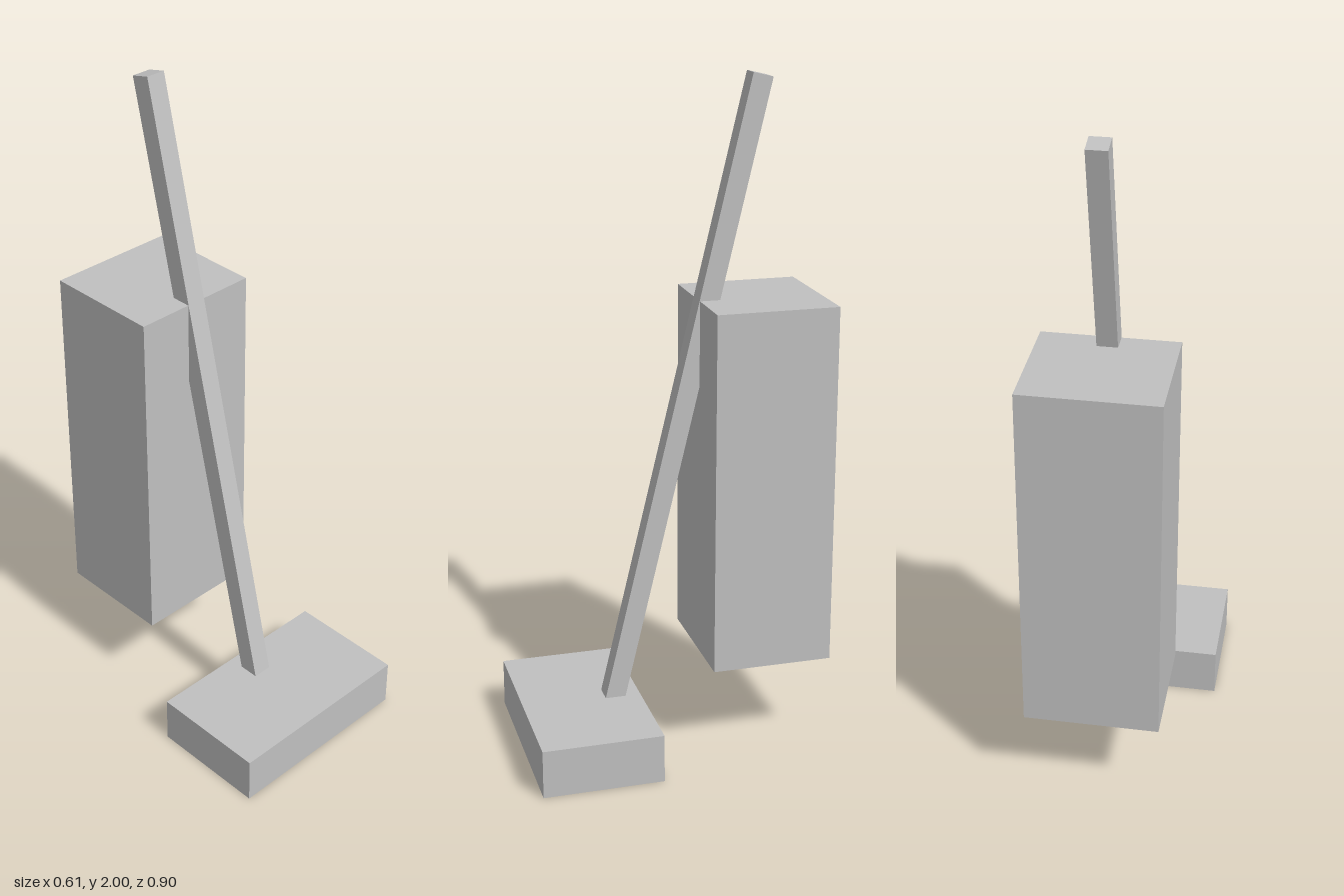
import * as THREE from 'three';

export function createModel() {
  const model = new THREE.Group();
  const grey = new THREE.MeshStandardMaterial({ color: 0xc0c0c0 });
  grey.name = 'light grey';

  const addBox = (name, size, position) => {
    const mesh = new THREE.Mesh(new THREE.BoxGeometry(...size), grey);
    mesh.name = name;
    mesh.position.set(...position);
    model.add(mesh);
    return mesh;
  };

  // Flat floor head and the upright bag behind the handle
  addBox('floorHead', [0.613, 0.147, 0.36], [0, 0.0735, 0.272]);
  addBox('bag', [0.398, 1.085, 0.362], [0, 0.8175, -0.271]);

  // Handle leaning back, its foot sunk into the floor head
  const length = 1.97, thickness = 0.06, lean = 0.2335;
  const top = new THREE.Vector3(0, 1.993, -0.27);
  const handle = addBox('handle', [thickness, length, thickness], [0, 0, 0]);
  handle.rotation.x = -lean;
  handle.position.set(0, top.y - Math.cos(lean) * length / 2, top.z + Math.sin(lean) * length / 2);

  return model;
}
